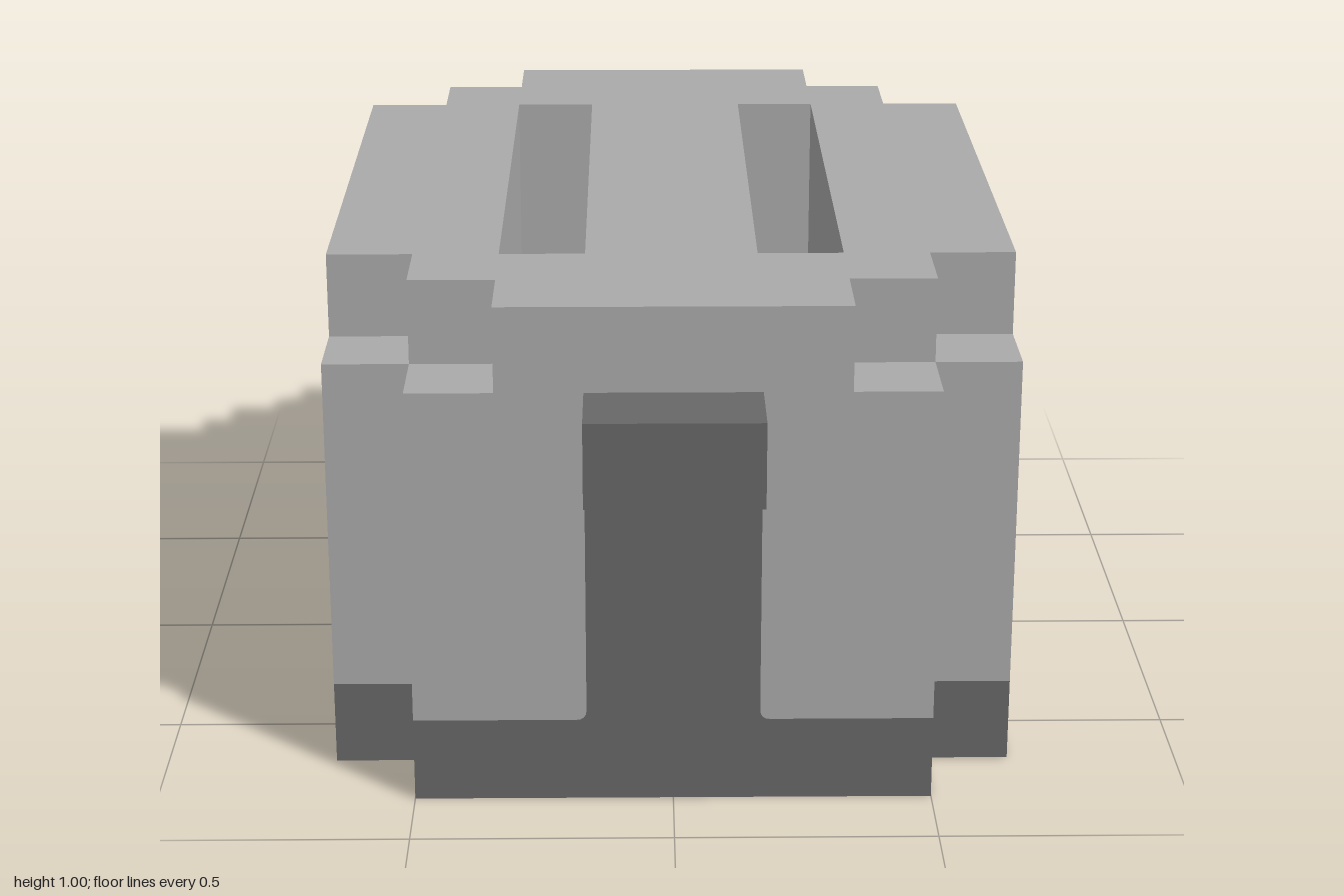
import * as THREE from 'three';

const U = 1 / 6; // one block of the model

// Closed outline from one stepped corner, mirrored into all four quarters
function steppedOutline(corner) {
  const back = [...corner].reverse();
  const points = [
    ...corner,
    ...back.map(([x, y]) => [-x, y]),
    ...corner.map(([x, y]) => [-x, -y]),
    ...back.map(([x, y]) => [x, -y]),
  ];
  return new THREE.Shape(points.map(([x, y]) => new THREE.Vector2(x * U, y * U)));
}

// Rectangular hole for a bread slot
function slotHole(side) {
  const [a, b] = side > 0 ? [1, 2] : [-2, -1];
  return new THREE.Path([[a, -3.5], [a, 3.5], [b, 3.5], [b, -3.5]]
    .map(([x, y]) => new THREE.Vector2(x * U, y * U)));
}

// Horizontal slab between two heights
function slab(name, corner, bottom, top, material, slotted) {
  const shape = steppedOutline(corner);
  if (slotted) shape.holes.push(slotHole(1), slotHole(-1));
  const geometry = new THREE.ExtrudeGeometry(shape, { depth: (top - bottom) * U, bevelEnabled: false });
  geometry.rotateX(-Math.PI / 2);
  geometry.translate(0, bottom * U, -0.5 * U);
  const mesh = new THREE.Mesh(geometry, material);
  mesh.name = name;
  return mesh;
}

export function createModel() {
  const casing = new THREE.MeshStandardMaterial({ color: 0xaaaaaa });
  casing.name = 'light grey casing';
  const trim = new THREE.MeshStandardMaterial({ color: 0x686868 });
  trim.name = 'dark grey trim';

  const group = new THREE.Group();
  group.name = 'toaster';

  // Base, slotted casing and its narrower top layer
  const lower = [[4, 4.5], [3, 4.5], [3, 5.5]];
  const upper = [[4, 3.5], [3, 3.5], [3, 4.5], [2, 4.5], [2, 5.5]];
  group.add(
    slab('base', lower, 0, 1, trim, false),
    slab('casing', lower, 1, 5, casing, true),
    slab('casingTop', upper, 5, 6, casing, true),
  );

  // Dark lever track on the front, flared slightly at its foot
  const f = 0.02;
  const track = new THREE.Shape();
  track.moveTo(-U - f, U);
  track.lineTo(U + f, U);
  track.quadraticCurveTo(U, U, U, U + f);
  track.lineTo(U, 4.5 * U);
  track.lineTo(-U, 4.5 * U);
  track.lineTo(-U, U + f);
  track.quadraticCurveTo(-U, U, -U - f, U);
  const trackMesh = new THREE.Mesh(
    new THREE.ExtrudeGeometry(track, { depth: 0.002, bevelEnabled: false, curveSegments: 4 }), trim);
  trackMesh.position.z = 5 * U;
  trackMesh.name = 'leverTrack';
  group.add(trackMesh);

  // Lever
  const lever = new THREE.Mesh(new THREE.BoxGeometry(2 * U, U, U), trim);
  lever.position.set(0, 4.5 * U, 5.5 * U);
  lever.name = 'lever';
  group.add(lever);

  return group;
}
